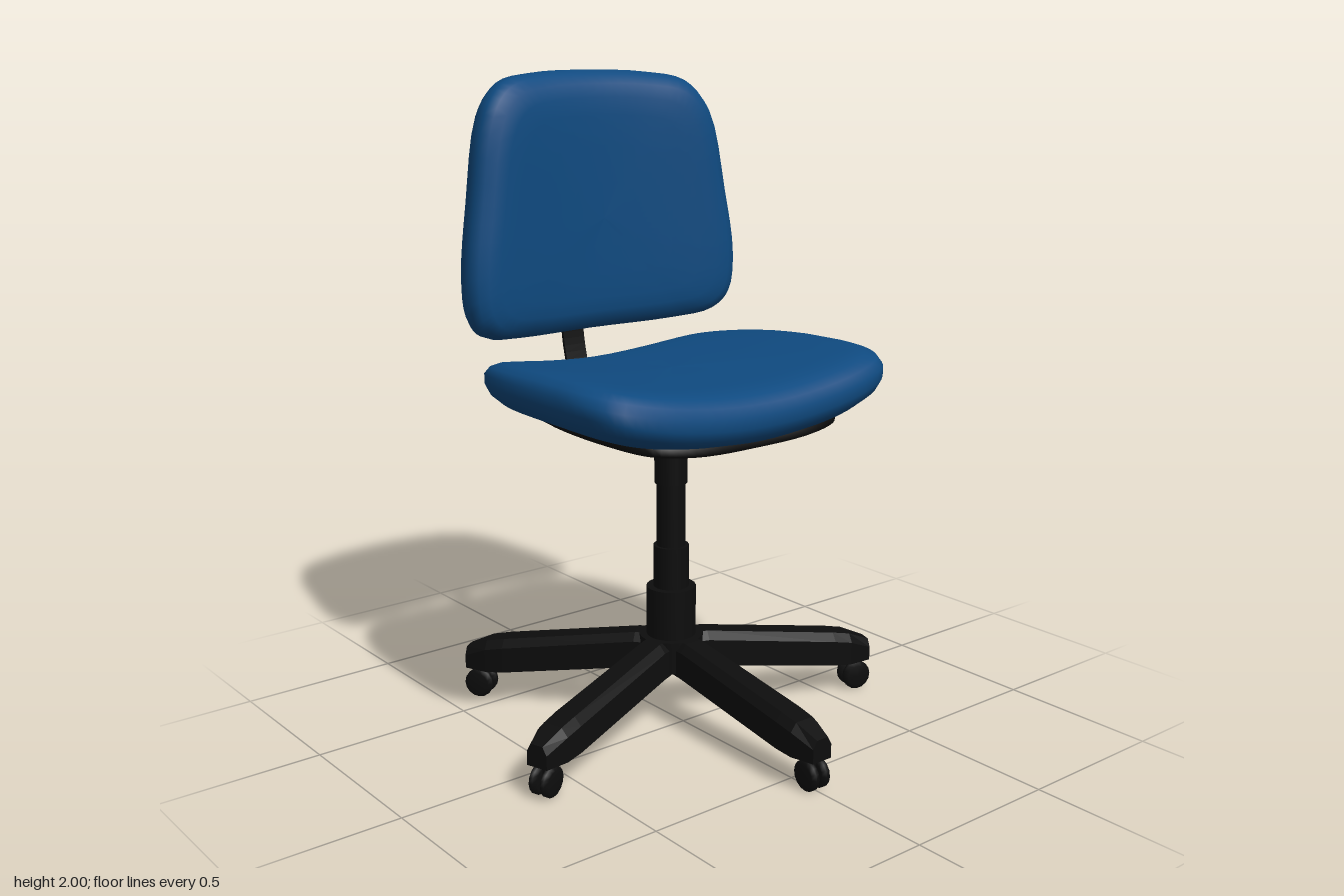
import * as THREE from 'three';

const blue = new THREE.MeshStandardMaterial({ color: 0x0f4a80 });
const black = new THREE.MeshStandardMaterial({ color: 0x0d0d0d });
const CZ = -0.06; // column axis

function part(name, geometry, material) {
  const mesh = new THREE.Mesh(geometry, material);
  mesh.name = name;
  return mesh;
}

// Closed pad: a mirrored outline (right half, counter-clockwise) scaled along
// a rim profile of [scale, height]; place(u, v, height) bends it into shape.
function pad(half, profile, centreV, place) {
  const left = half.slice(1, -1).reverse().map(([u, v]) => [-u, v]);
  const curve = new THREE.CatmullRomCurve3(
    [...half, ...left].map(([u, v]) => new THREE.Vector3(u, v, 0)), true);
  const n = 72;
  const outline = curve.getPoints(n).slice(0, n);
  const pos = [], index = [];
  for (const [s, t] of profile) {
    for (const p of outline) pos.push(...place(p.x * s, centreV + (p.y - centreV) * s, t));
  }
  for (let i = 0; i < profile.length - 1; i++) {
    for (let j = 0; j < n; j++) {
      const k = (j + 1) % n;
      const a = i * n + j, b = a + n, c = (i + 1) * n + k, d = i * n + k;
      index.push(a, b, c, a, c, d);
    }
  }
  const g = new THREE.BufferGeometry();
  g.setAttribute('position', new THREE.Float32BufferAttribute(pos, 3));
  g.setIndex(index);
  g.computeVertexNormals();
  return g;
}

// Soft, evenly rounded cushion rim
const upper = [[0, 1], [0.25, 1], [0.5, 0.99], [0.7, 0.97], [0.82, 0.92], [0.91, 0.8], [0.97, 0.55], [1, 0.2]];
const soft = [...upper, ...upper.slice().reverse().map(([s, t]) => [s, -t])];

// Tapered leg running along +z, lofted from [distance, top, bottom, half width]
function legGeometry() {
  const stations = [
    [0, 0.28, 0.18, 0.05], [0.11, 0.28, 0.17, 0.05], [0.55, 0.212, 0.105, 0.055],
    [0.61, 0.2, 0.1, 0.053], [0.685, 0.168, 0.1, 0.035],
  ];
  const pos = [], index = [], n = 6;
  for (const [r, t, b, w] of stations) {
    for (const [x, y] of [[w, b], [w, t - 0.025], [w * 0.6, t], [-w * 0.6, t], [-w, t - 0.025], [-w, b]]) {
      pos.push(x, y, r);
    }
  }
  for (let i = 0; i < stations.length - 1; i++) {
    for (let j = 0; j < n; j++) {
      const k = (j + 1) % n;
      const a = i * n + j, b = i * n + k, c = b + n, d = a + n;
      index.push(a, b, c, a, c, d);
    }
  }
  const e = (stations.length - 1) * n;
  for (let j = 1; j < n - 1; j++) index.push(e, e + j, e + j + 1, 0, j + 1, j);
  const g = new THREE.BufferGeometry();
  g.setAttribute('position', new THREE.Float32BufferAttribute(pos, 3));
  g.setIndex(index);
  const flat = g.toNonIndexed();
  flat.computeVertexNormals();
  return flat;
}

// Twin-wheel caster with its axle along x
function caster() {
  const group = new THREE.Group();
  group.name = 'caster';
  const profile = [[0, -0.014], [0.034, -0.014], [0.047, -0.006], [0.047, 0.006], [0.034, 0.014], [0, 0.014]]
    .map(([r, y]) => new THREE.Vector2(r, y));
  const wheel = new THREE.LatheGeometry(profile, 16);
  wheel.rotateZ(Math.PI / 2);
  for (const side of [-1, 1]) {
    const m = part('casterWheel', wheel, black);
    m.position.set(side * 0.02, 0.047, 0);
    group.add(m);
  }
  const axle = part('casterAxle', new THREE.CylinderGeometry(0.012, 0.012, 0.04, 10).rotateZ(Math.PI / 2), black);
  axle.position.y = 0.047;
  const stem = part('casterStem', new THREE.CylinderGeometry(0.011, 0.011, 0.08, 10), black);
  stem.position.y = 0.085;
  group.add(axle, stem);
  return group;
}

export function createModel() {
  const model = new THREE.Group();
  model.name = 'officeChair';

  // Five-legged base
  const base = new THREE.Group();
  base.name = 'base';
  base.position.z = CZ;
  const legGeo = legGeometry();
  for (let i = 0; i < 5; i++) {
    const arm = new THREE.Group();
    arm.name = 'baseArm';
    arm.rotation.y = i * Math.PI * 2 / 5;
    const wheel = caster();
    wheel.position.z = 0.645;
    arm.add(part('leg', legGeo, black), wheel);
    base.add(arm);
  }

  // Hub and stepped gas column: [name, radius, bottom, top]
  for (const [name, r, y0, y1] of [
    ['hub', 0.1, 0.18, 0.28], ['hubCollar', 0.077, 0.27, 0.437], ['lowerSleeve', 0.055, 0.43, 0.57],
    ['column', 0.045, 0.56, 0.78], ['upperSleeve', 0.051, 0.77, 0.94],
  ]) {
    const m = part(name, new THREE.CylinderGeometry(r, r, y1 - y0, 20), black);
    m.position.y = (y0 + y1) / 2;
    base.add(m);
  }
  model.add(base);

  // Seat cushion: sides rise, rear thins slightly
  const seatHalf = [
    [0, -0.39], [0.2, -0.388], [0.4, -0.375], [0.5, -0.34], [0.545, -0.25], [0.55, -0.08],
    [0.53, 0.18], [0.47, 0.36], [0.4, 0.445], [0.25, 0.49], [0, 0.5],
  ];
  model.add(part('seat', pad(seatHalf, soft, 0.05, (u, v, t) => {
    const drop = t > 0 && v > 0 ? 0.05 * v * t : 0;
    return [u, 1.05 + 0.08 * (u / 0.55) ** 2 + 0.085 * t - drop, -v];
  }), blue));

  // Dished pan under the seat
  const panHalf = [
    [0, -0.35], [0.24, -0.345], [0.35, -0.29], [0.385, -0.1], [0.36, 0.2], [0.28, 0.41], [0.15, 0.465], [0, 0.47],
  ];
  const panRim = [[0, 1], [0.6, 1], [0.97, 1], [1, 0.8], [1, 0.3], [0.96, 0.1], [0.6, -0.5], [0.3, -0.95], [0, -1]];
  model.add(part('seatPan', pad(panHalf, panRim, 0.06,
    (u, v, t) => [u, 0.955 + 0.02 * (u / 0.38) ** 2 + 0.04 * t, -v]), black));

  // Backrest cushion, wrapped forward at the sides
  const backHalf = [
    [0, 1.195], [0.3, 1.2], [0.44, 1.222], [0.49, 1.275], [0.505, 1.4], [0.475, 1.62],
    [0.42, 1.88], [0.345, 1.965], [0.2, 1.993], [0, 2],
  ];
  const wrap = (u) => 0.09 * (u / 0.5) ** 2;
  model.add(part('backrest', pad(backHalf, soft, 1.55,
    (u, v, t) => [u, v, -0.48 + wrap(u) + 0.09 * t]), blue));

  // Plate on the rear of the backrest
  const plateHalf = [
    [0, 1.23], [0.22, 1.232], [0.29, 1.255], [0.305, 1.32], [0.275, 1.46], [0.22, 1.525], [0, 1.535],
  ];
  model.add(part('backPlate', pad(plateHalf, soft, 1.38,
    (u, v, t) => [u, v, -0.545 + wrap(u) + 0.045 * t]), black));

  // Thin bent strap joining the plate and the pan
  const path = new THREE.CatmullRomCurve3([
    [-0.565, 1.34], [-0.576, 1.25], [-0.572, 1.16], [-0.548, 1.06], [-0.51, 0.985], [-0.465, 0.957], [-0.38, 0.95],
  ].map(([z, y]) => new THREE.Vector3(z, y, 0)));
  const outer = [], inner = [];
  for (let i = 0; i <= 28; i++) {
    const p = path.getPoint(i / 28), d = path.getTangent(i / 28);
    outer.push(new THREE.Vector2(p.x - d.y * 0.005, p.y + d.x * 0.005));
    inner.unshift(new THREE.Vector2(p.x + d.y * 0.005, p.y - d.x * 0.005));
  }
  const strap = new THREE.ExtrudeGeometry(new THREE.Shape([...outer, ...inner]),
    { depth: 0.08, bevelEnabled: false });
  strap.translate(0, 0, -0.04);
  strap.rotateY(-Math.PI / 2);
  model.add(part('backStrap', strap, black));

  return model;
}
